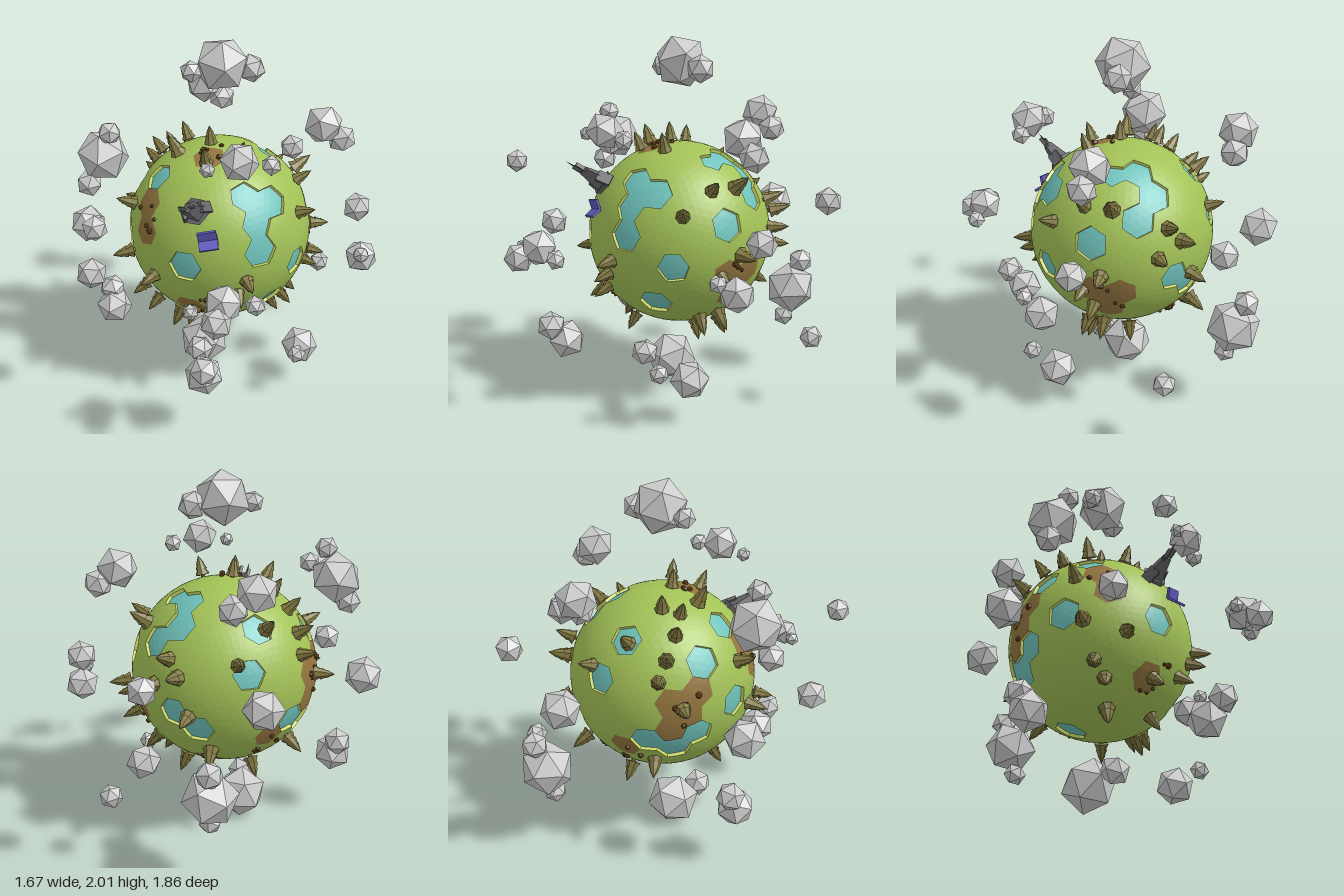
import * as THREE from 'three';
import { mergeVertices } from 'three/addons/utils/BufferGeometryUtils.js';

const R = 0.507, UP = new THREE.Vector3(0, 1, 0), RAD = Math.PI / 180;
const mat = (color, side = THREE.FrontSide) =>
  new THREE.MeshStandardMaterial({ color, flatShading: true, side });

let seed = 7;
const rand = () => (seed = (seed * 16807) % 2147483647) / 2147483647;

function add(parent, name, geo, material, x = 0, y = 0, z = 0) {
  const m = new THREE.Mesh(geo, material);
  m.name = name;
  m.position.set(x, y, z);
  parent.add(m);
  return m;
}

// unit direction from longitude (0 = front, 90 = left) and latitude in degrees
const dir = (lon, lat) => new THREE.Vector3().setFromSphericalCoords(1, (90 - lat) * RAD, lon * RAD);

// lake cells and trees by longitude and latitude; soil patches also by radius
const LAKES = [[6, 42], [16, 29], [30, 29], [16, 16], [28, -33], [37, -27], [45, -17], [-38, 2], [-26, -8],
  [130, 42], [109, 57], [119, 68], [85, 61], [121, 34], [-102, 34], [-79, 42], [-175, 46], [-173, 16],
  [80, 15], [140, -22], [137, -11], [151, -26], [-128, -18], [-115, -19], [-142, -25], [-90, 5], [-143, -78]];
const SOIL = [[-32, -35, 16], [-66, 22, 11], [-27, 72, 15], [90, -20, 15], [-125, 2, 15],
  [158, -50, 9], [-162, -34, 9]];
const TREES = [[93, 36], [73, 36], [129, 23], [137, 14], [121, 7], [144, -8], [52, 22], [88, -3],
  [76, -15], [82, -26], [85, -46], [68, -57], [69, -49], [110, -62], [156, -33], [6, -8], [1, -17],
  [-6, -28], [-29, -35], [-169, -52], [-61, -58], [-4, -56], [-164, 41], [173, 23], [-118, 60],
  [-139, 65], [-85, 64], [-68, 84], [-29, 66], [-128, 47], [-136, 33], [-141, 21], [-127, 5],
  [-144, -34], [-84, 23], [-78, -6], [-53, -12], [-72, -29], [-65, -39], [25, 69]];

// cloud puffs as x, y, z, size; the first three carry a small puff on each side
const PUFFS = [
  [0, 1.87, -.08, .14], [0, 1.54, .43, .095], [-.14, .95, .76, .095], [-.19, .9, .85, .075],
  [0, 1.55, -.69, .1], [.11, 1.47, -.68, .075], [.55, 1.52, -.02, .105], [.65, 1.44, 0, .075],
  [.555, 1.11, -.68, .075], [.755, 1.03, .035, .078], [0, 1.01, -.83, .1], [.745, .8, .19, .09],
  [.71, .865, .285, .045], [.69, .415, -.425, .06], [.41, .245, .2, .1], [.35, .3, .36, .05],
  [.24, .52, -.74, .14], [.26, .68, -.8, .07], [.23, .355, -.7, .06], [-.105, .14, -.1, .138],
  [-.155, .19, .06, .075], [-.21, .38, .56, .1], [-.22, .475, .65, .075], [-.625, .38, -.2, .1],
  [-.63, .47, -.25, .075], [-.74, .89, -.3, .1], [-.75, .9, .28, .078], [-.635, 1.4, -.1, .135],
  [-.6, 1.55, -.03, .06], [-.72, 1.25, -.08, .07], [-.72, 1.3, .535, .062]];

// hexagonal cells: one for every corner of a geodesic sphere, bounded by the triangle centres
function makeCells() {
  const base = new THREE.IcosahedronGeometry(1, 3);
  base.deleteAttribute('normal');
  base.deleteAttribute('uv');
  const geo = mergeVertices(base, 1e-4), p = geo.attributes.position, ix = geo.index;
  const cells = [];
  for (let i = 0; i < p.count; i++)
    cells.push({ c: new THREE.Vector3().fromBufferAttribute(p, i).normalize(), ring: [], kind: 'grass' });
  for (let f = 0; f < ix.count; f += 3) {
    const ids = [0, 1, 2].map((k) => ix.getX(f + k));
    const v = new THREE.Vector3();
    ids.forEach((i) => v.add(cells[i].c));
    v.normalize();
    ids.forEach((i) => cells[i].ring.push({ v, id: f }));
  }
  for (const { c, ring } of cells) {
    const a = ring[0].v.clone().projectOnPlane(c).normalize(), b = c.clone().cross(a);
    ring.sort((s, t) => Math.atan2(s.v.dot(b), s.v.dot(a)) - Math.atan2(t.v.dot(b), t.v.dot(a)));
  }
  for (const [lon, lat, size] of SOIL) {
    const d = dir(lon, lat);
    for (const s of cells) if (s.c.angleTo(d) < size * RAD) s.kind = 'soil';
  }
  for (const [lon, lat] of LAKES) {
    const d = dir(lon, lat);
    cells.reduce((m, s) => (s.c.dot(d) > m.c.dot(d) ? s : m)).kind = 'water';
  }
  return cells;
}

// land, sunken lakes and their banks
function makeGround(planet) {
  const tris = { grass: [], soil: [], water: [], shore: [] }, edges = new Map();
  const push = (kind, r, ...vs) => vs.forEach((v) => tris[kind].push(v.x * r, v.y * r, v.z * r));
  const mid = (a, b) => a.clone().add(b).normalize();
  for (const { c, ring, kind } of makeCells()) {
    const r = kind === 'water' ? R - 0.018 : R;
    ring.forEach((s, i) => {
      const t = ring[(i + 1) % ring.length];
      const ab = mid(c, s.v), bc = mid(s.v, t.v), ca = mid(t.v, c);
      push(kind, r, c, ab, ca, ab, s.v, bc, ca, bc, t.v, ab, bc, ca);
      if (kind !== 'water') return;
      const key = [s.id, t.id].sort((m, n) => m - n).join();
      if (edges.has(key)) edges.delete(key);
      else edges.set(key, [s.v, bc, t.v]);
    });
  }
  const low = (v) => v.clone().multiplyScalar(1 - 0.02 / R);
  for (const [a, m, b] of edges.values())
    for (const [s, t] of [[a, m], [m, b]]) push('shore', R, s, low(s), low(t), s, low(t), t);
  const colors = { grass: 0xa3c257, soil: 0x93753f, water: 0x70c4bd, shore: 0xcfd968 };
  for (const k in tris) {
    const g = new THREE.BufferGeometry();
    g.setAttribute('position', new THREE.Float32BufferAttribute(tris[k], 3));
    g.computeVertexNormals();
    add(planet, k, g, mat(colors[k], k === 'shore' ? THREE.DoubleSide : THREE.FrontSide));
  }
}

function makePlanet() {
  const planet = new THREE.Group();
  planet.name = 'planet';
  planet.position.set(-0.01, 0.93, -0.08);
  makeGround(planet);

  // tiered conifers standing on the surface
  const profile = [new THREE.Vector2(0, -.02), new THREE.Vector2(.012, -.02), new THREE.Vector2(.012, .015)];
  for (let i = 0; i < 3; i++) {
    const w = 0.043 - i * 0.0095, y = 0.018 + i * 0.033;
    profile.push(new THREE.Vector2(w, y), new THREE.Vector2(i < 2 ? w * 0.56 : 0, y + (i < 2 ? 0.037 : 0.048)));
  }
  const treeGeo = new THREE.LatheGeometry(profile, 7), treeMat = mat(0x837a42);
  for (const [lon, lat] of TREES) {
    const n = dir(lon, lat);
    const tree = add(planet, 'tree', treeGeo, treeMat);
    tree.position.copy(n).multiplyScalar(R - 0.006);
    tree.quaternion.setFromUnitVectors(UP, n);
    tree.rotateY(rand() * 6);
    tree.scale.setScalar(0.85 + rand() * 0.25);
  }

  // small rocks scattered over the soil
  const rockGeo = new THREE.DodecahedronGeometry(0.016), rockMat = mat(0x5f4012);
  for (const [lon, lat, size] of SOIL)
    for (let i = 0; i < 5; i++) {
      const spread = () => (rand() - 0.5) * size * 1.6;
      const rock = add(planet, 'rock', rockGeo, rockMat);
      rock.position.copy(dir(lon + spread() / Math.cos(lat * RAD), lat + spread())).multiplyScalar(R + 0.004);
      rock.rotation.set(rand() * 6, rand() * 6, 0);
      rock.scale.setScalar(0.6 + rand() * 0.6);
    }
  return planet;
}

// grey craft leaning out of the ground
function makeCraft() {
  const craft = new THREE.Group(), grey = mat(0x66666a);
  craft.name = 'craft';
  craft.position.set(-0.225, 1.255, 0.345);
  craft.quaternion.setFromUnitVectors(UP, new THREE.Vector3(-.42, .55, .72).normalize());
  const hull = add(craft, 'hull', new THREE.CylinderGeometry(0.035, 0.08, 0.15, 4), grey);
  hull.scale.z = 0.75;
  add(craft, 'collar', new THREE.CylinderGeometry(0.075, 0.055, 0.04, 6), grey, 0, -.07, 0);
  for (const s of [-1, 1]) {
    add(craft, 'prong', new THREE.BoxGeometry(0.016, 0.07, 0.02), grey, s * .024, .09, 0);
    const fin = add(craft, 'fin', new THREE.BoxGeometry(0.02, 0.08, 0.06), grey, s * .06, -.04, 0);
    fin.rotation.z = s * 0.35;
  }
  add(craft, 'spike', new THREE.ConeGeometry(0.012, 0.11, 4), grey, -.015, .12, 0);
  return craft;
}

// folded blue panel below the craft
function makePanel() {
  const panel = new THREE.Group(), blue = mat(0x625cc0);
  panel.name = 'bluePanel';
  panel.position.set(-0.155, 1.1, 0.4);
  panel.rotation.set(-0.35, -0.25, 0.1);
  for (const s of [-1, 1]) {
    const leaf = add(panel, 'panelLeaf', new THREE.BoxGeometry(0.1, 0.058, 0.014), blue, 0, s * .024, 0);
    leaf.rotation.x = s * 0.6;
  }
  return panel;
}

// faceted clouds floating around the planet
function makeClouds() {
  const clouds = new THREE.Group();
  clouds.name = 'clouds';
  const puffGeo = new THREE.IcosahedronGeometry(1, 0), cloudMat = mat(0xcccccc);
  const puff = (x, y, z, r) => {
    const m = add(clouds, 'cloudPuff', puffGeo, cloudMat, x, y, z);
    m.scale.setScalar(r * 1.06);
    m.rotation.set(rand() * 6, rand() * 6, rand() * 6);
  };
  PUFFS.forEach(([x, y, z, r], i) => {
    puff(x, y, z, r);
    if (i < 3) for (const s of [-1, 1]) puff(x + s * 0.16, y - 0.03, z, r * (0.46 + s * 0.06));
  });
  return clouds;
}

export function createModel() {
  const model = new THREE.Group();
  model.name = 'tinyPlanet';
  model.add(makePlanet(), makeCraft(), makePanel(), makeClouds());
  return model;
}
